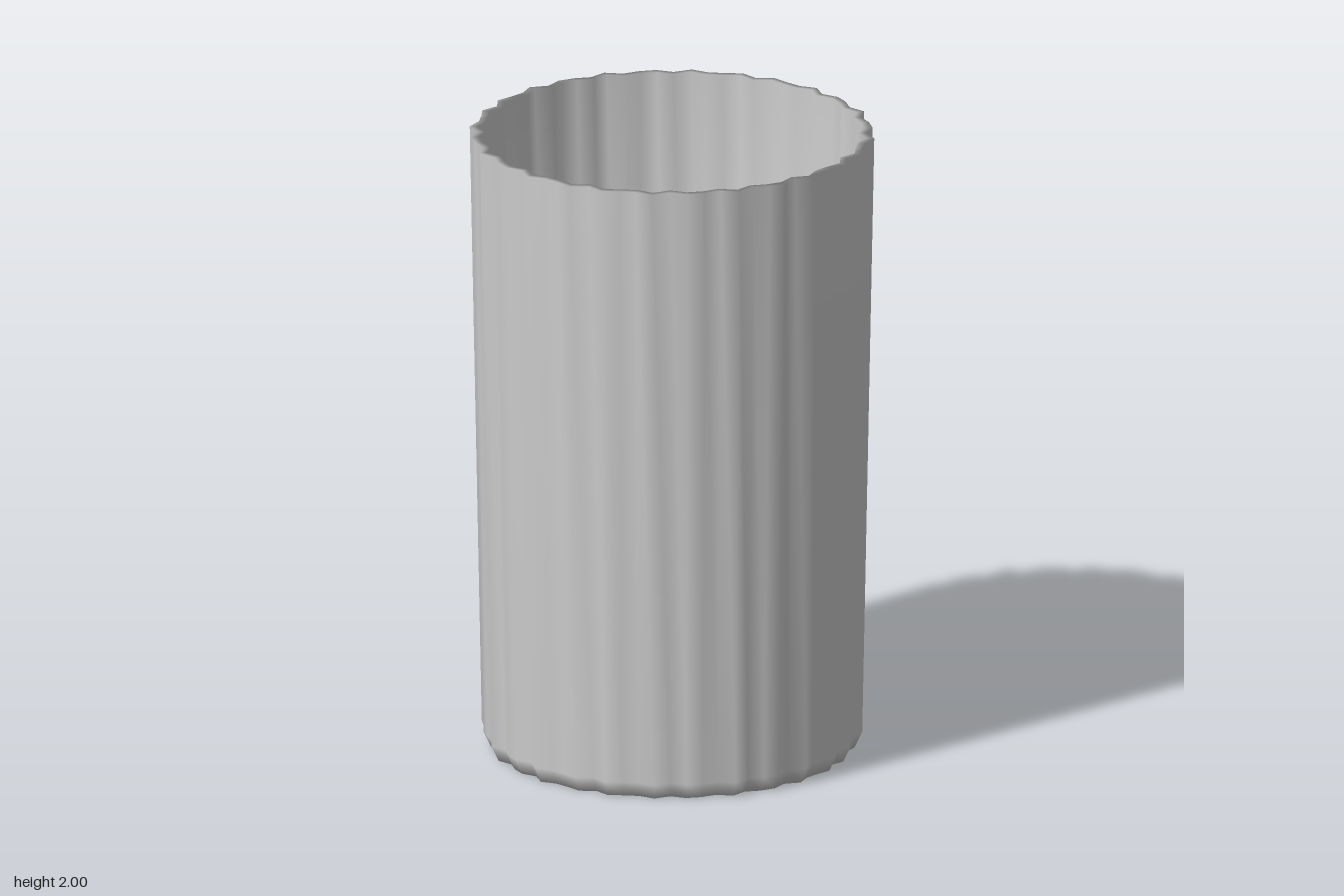
import * as THREE from 'three';
import { mergeVertices } from 'three/addons/utils/BufferGeometryUtils.js';

const SEGMENTS = 72;
const FLUTES = 28;
const FLUTE_DEPTH = 0.024; // share of the radius

export function createModel() {
  const group = new THREE.Group();
  group.name = 'flutedCup';

  // Closed profile: underside, bevelled foot, outer wall, rim, inner wall, floor
  const profile = [
    [0, 0], [0.56, 0], [0.583, 0.05], [0.62, 2],
    [0.597, 2], [0.56, 0.05], [0, 0.05],
  ].map(([r, y]) => new THREE.Vector2(r, y));

  let geometry = new THREE.LatheGeometry(profile, SEGMENTS);

  // Push the radius in and out around the cup to form the flutes
  const pos = geometry.attributes.position;
  for (let i = 0; i < pos.count; i++) {
    const angle = Math.atan2(pos.getX(i), pos.getZ(i));
    const k = 1 + FLUTE_DEPTH * Math.cos(FLUTES * angle);
    pos.setX(i, pos.getX(i) * k);
    pos.setZ(i, pos.getZ(i) * k);
  }

  // Weld the seam and the centres so the shading runs smoothly
  geometry.deleteAttribute('uv');
  geometry.deleteAttribute('normal');
  geometry = mergeVertices(geometry, 1e-4);
  geometry.computeVertexNormals();

  const cup = new THREE.Mesh(geometry, new THREE.MeshStandardMaterial({ color: 0xcccccc }));
  cup.name = 'cupBody';
  group.add(cup);
  return group;
}
